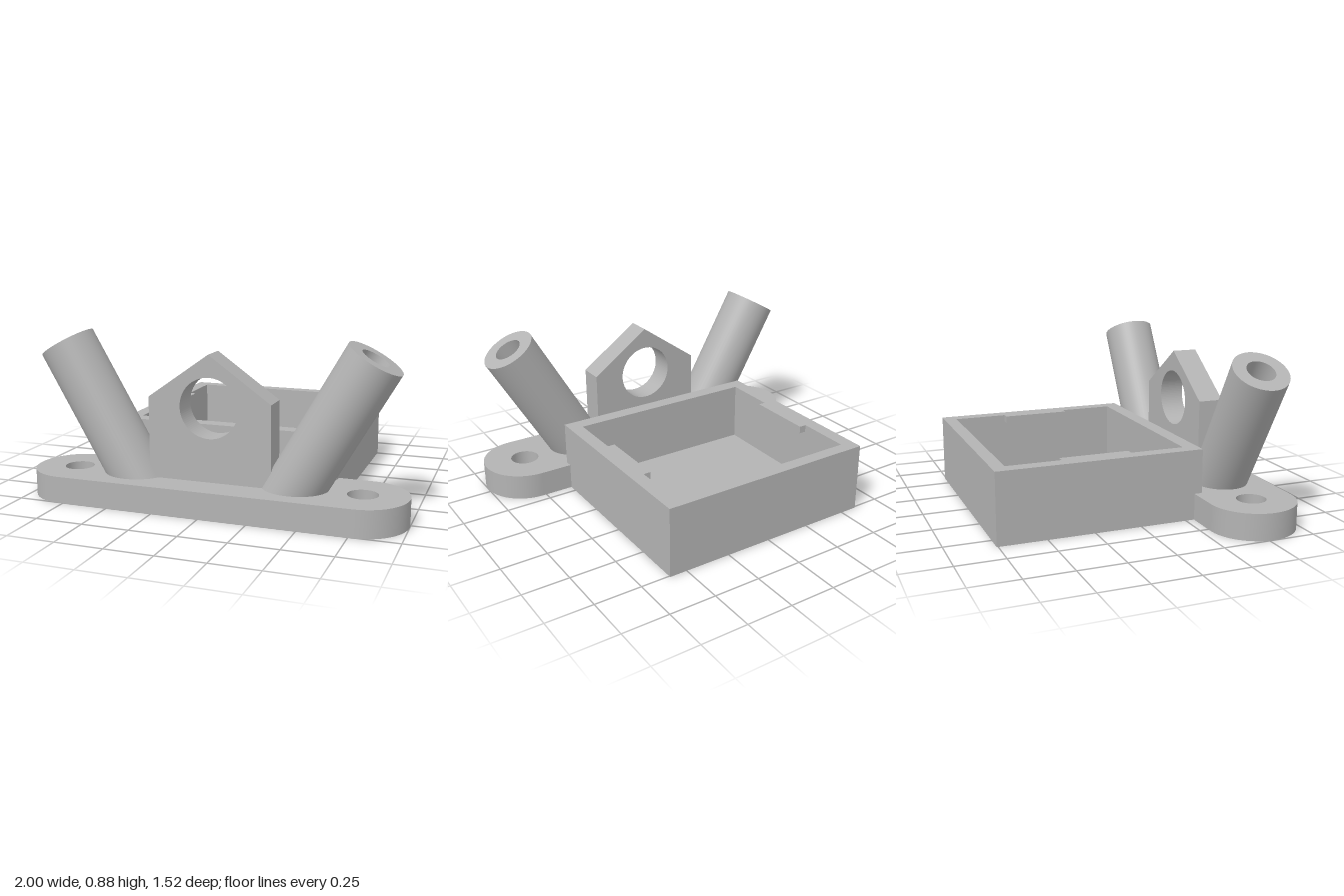
import * as THREE from 'three';

const SEG = 48, TILT = Math.PI / 6, PLATE_H = 0.14, PLATE_Z = 0.527;

// Closed smooth strip between two rings of equal length
function loft(a, b) {
  const n = a.length, index = [];
  for (let i = 0; i < n; i++) {
    const j = (i + 1) % n;
    index.push(i, n + i, j, j, n + i, n + j);
  }
  const g = new THREE.BufferGeometry().setFromPoints([...a, ...b]);
  g.setIndex(index);
  g.computeVertexNormals();
  return g;
}

const angles = Array.from({ length: SEG }, (_, i) => (i / SEG) * Math.PI * 2);
const circle = (x, r, y) => angles.map(t => new THREE.Vector3(x + r * Math.cos(t), y, r * Math.sin(t)));

// Ring of a leaning tube: square-cut at its top, or cut by the plane y = h
function tubeRing(r, h) {
  const s = Math.sin(TILT), c = Math.cos(TILT);
  return angles.map(t => {
    const p = new THREE.Vector3(0.815 + r * Math.cos(t) * c, 0.805 - r * Math.cos(t) * s, r * Math.sin(t));
    return h === undefined ? p : p.addScaledVector(new THREE.Vector3(s, c, 0), (h - p.y) / c);
  });
}

export function createModel() {
  const model = new THREE.Group();
  const grey = new THREE.MeshStandardMaterial({ color: 0xb3b3b3 });
  grey.name = 'grey';
  const add = (parent, name, geometry) => {
    const m = new THREE.Mesh(geometry, grey);
    m.name = name;
    parent.add(m);
    return m;
  };
  const group = (name, parent) => {
    const g = new THREE.Group();
    g.name = name;
    parent.add(g);
    return g;
  };
  const flip = ring => ring.map(p => new THREE.Vector3(-p.x, p.y, -p.z));

  // Round-ended base plate with screw holes and slanted bores
  const base = group('basePlate', model);
  base.position.z = PLATE_Z;
  const outline = y => {
    const pts = [];
    for (const side of [1, -1]) {
      for (let i = 0; i <= 32; i++) {
        const t = -Math.PI / 2 + (i / 32) * Math.PI;
        pts.push(new THREE.Vector3(side * (0.77 + 0.23 * Math.cos(t)), y, side * 0.23 * Math.sin(t)));
      }
    }
    return pts;
  };
  const holes = y => [circle(0.77, 0.077, y), circle(-0.77, 0.077, y), tubeRing(0.075, y), flip(tubeRing(0.075, y))];
  const cap = y => {
    const flat = ring => ring.map(p => new THREE.Vector2(p.x, p.z));
    const shape = new THREE.Shape(flat(outline(y)));
    holes(y).forEach(h => shape.holes.push(new THREE.Path(flat(h))));
    const g = new THREE.ShapeGeometry(shape);
    g.rotateX(y > 0 ? -Math.PI / 2 : Math.PI / 2);
    return g.translate(0, y, 0);
  };
  add(base, 'plateTop', cap(PLATE_H));
  add(base, 'plateBottom', cap(0));
  add(base, 'plateEdge', loft(outline(0), outline(PLATE_H)));
  for (const x of [-0.77, 0.77]) {
    add(base, 'screwHole', loft(circle(x, 0.077, PLATE_H), circle(x, 0.077, 0)));
  }

  // Two leaning tubes, bored right through the plate
  for (const side of [1, -1]) {
    const tube = group(side > 0 ? 'leftTube' : 'rightTube', model);
    tube.position.z = PLATE_Z;
    if (side < 0) tube.rotation.y = Math.PI;
    add(tube, 'tubeOuter', loft(tubeRing(0.147, PLATE_H), tubeRing(0.147)));
    add(tube, 'tubeBore', loft(tubeRing(0.075), tubeRing(0.075, 0)));
    add(tube, 'tubeRim', loft(tubeRing(0.147), tubeRing(0.075)));
  }

  // Gabled bracket with a round opening
  const gable = new THREE.Shape([[-0.325, 0.13], [0.325, 0.13], [0.325, 0.56], [0, 0.79], [-0.325, 0.56]]
    .map(p => new THREE.Vector2(...p)));
  gable.holes.push(new THREE.Path().absarc(0, 0.52, 0.155, 0, Math.PI * 2, true));
  add(model, 'bracket', new THREE.ExtrudeGeometry(gable, { depth: 0.137, bevelEnabled: false, curveSegments: 48 }))
    .position.z = 0.455;

  // Open tray: walls, floor and two retaining lugs
  const tray = group('tray', model);
  const rect = (Type, x, z0, z1) => new Type(
    [[-x, -z1], [x, -z1], [x, -z0], [-x, -z0]].map(p => new THREE.Vector2(...p)));
  const walls = rect(THREE.Shape, 0.595, -0.758, 0.338);
  walls.holes.push(rect(THREE.Path, 0.522, -0.69, 0.26));
  add(tray, 'trayWalls', new THREE.ExtrudeGeometry(walls, { depth: 0.375, bevelEnabled: false }).rotateX(-Math.PI / 2));
  add(tray, 'trayFloor', new THREE.BoxGeometry(1.044, 0.05, 0.95)).position.set(0, 0.025, -0.215);
  for (const side of [1, -1]) {
    add(tray, 'trayLug', new THREE.BoxGeometry(0.04, 0.04, 0.37)).position.set(side * 0.503, 0.355, -0.215);
  }
  return model;
}
